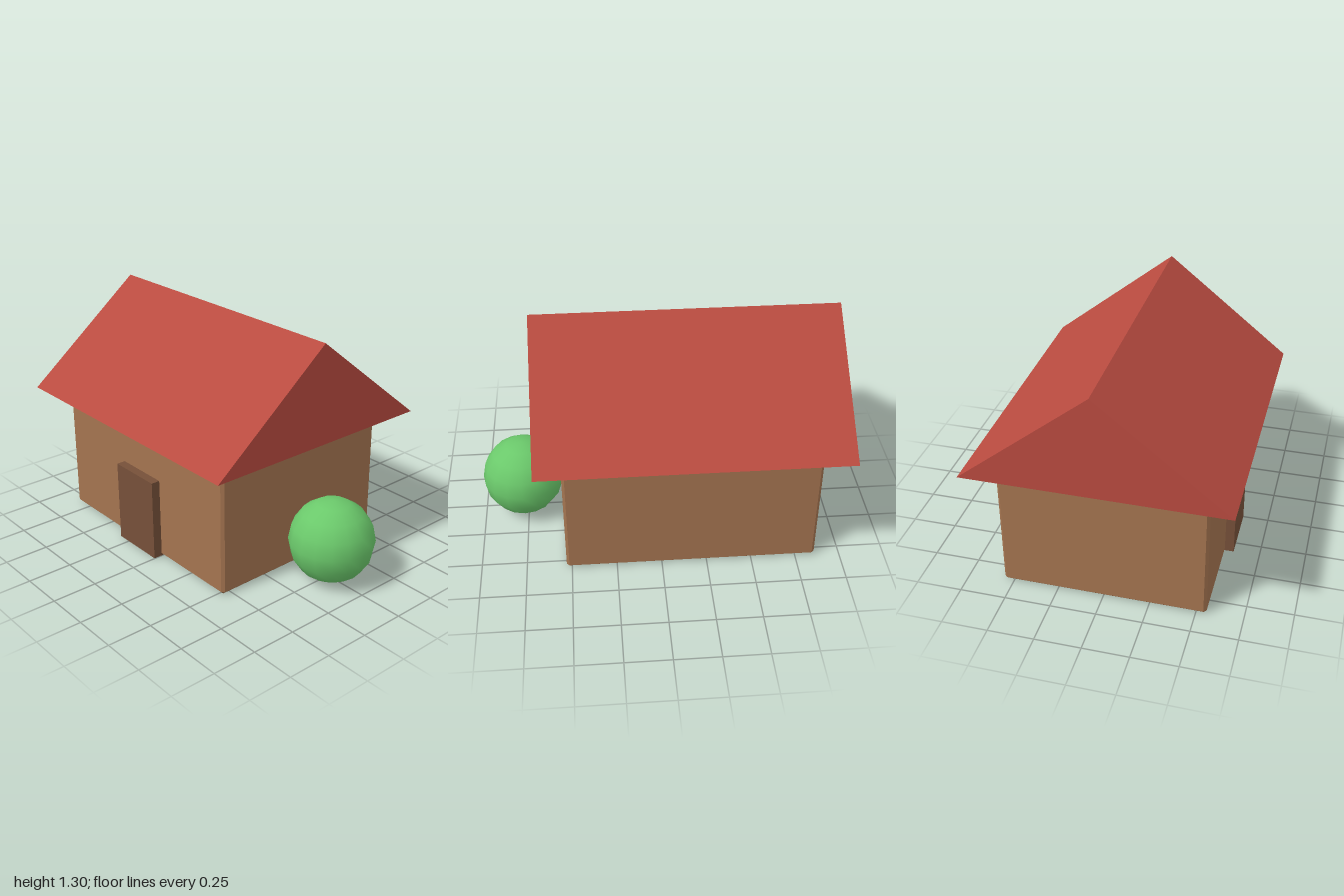
import * as THREE from 'three';
import { ConvexGeometry } from 'three/addons/geometries/ConvexGeometry.js';

function material(name, color) {
  const m = new THREE.MeshStandardMaterial({ color });
  m.name = name;
  return m;
}

// Box whose edges are all cut by a small flat chamfer
function chamferedBox(w, h, d, c) {
  const points = [];
  for (const sx of [-1, 1]) for (const sy of [-1, 1]) for (const sz of [-1, 1]) {
    for (let full = 0; full < 3; full++) {
      const half = [w / 2, h / 2, d / 2].map((v, i) => (i === full ? v : v - c));
      points.push(new THREE.Vector3(sx * half[0], sy * half[1], sz * half[2]));
    }
  }
  return new ConvexGeometry(points);
}

export function createModel() {
  const group = new THREE.Group();
  group.name = 'cottage';

  const add = (name, geometry, mat, x, y, z) => {
    const mesh = new THREE.Mesh(geometry, mat);
    mesh.name = name;
    mesh.position.set(x, y, z);
    group.add(mesh);
  };

  // Walls
  add('walls', chamferedBox(1.39, 0.75, 1.11, 0.015),
    material('wall brown', 0xa47450), -0.165, 0.375, 0);

  // Gable roof: triangular prism with its ridge along x
  const gable = new THREE.Shape([
    new THREE.Vector2(-0.697, 0),
    new THREE.Vector2(0.697, 0),
    new THREE.Vector2(0, 0.557),
  ]);
  const roof = new THREE.ExtrudeGeometry(gable, { depth: 1.67, bevelEnabled: false });
  roof.rotateY(Math.PI / 2);
  add('roof', roof, material('roof red', 0xb94b40), -1, 0.746, 0);

  // Door standing proud of the front wall
  add('door', new THREE.BoxGeometry(0.325, 0.465, 0.09),
    material('door brown', 0x765039), -0.165, 0.2325, 0.56);

  // Round bush beside the house
  add('bush', new THREE.SphereGeometry(0.232, 16, 8),
    material('bush green', 0x6bc96b), 0.767, 0.234, 0);

  return group;
}
